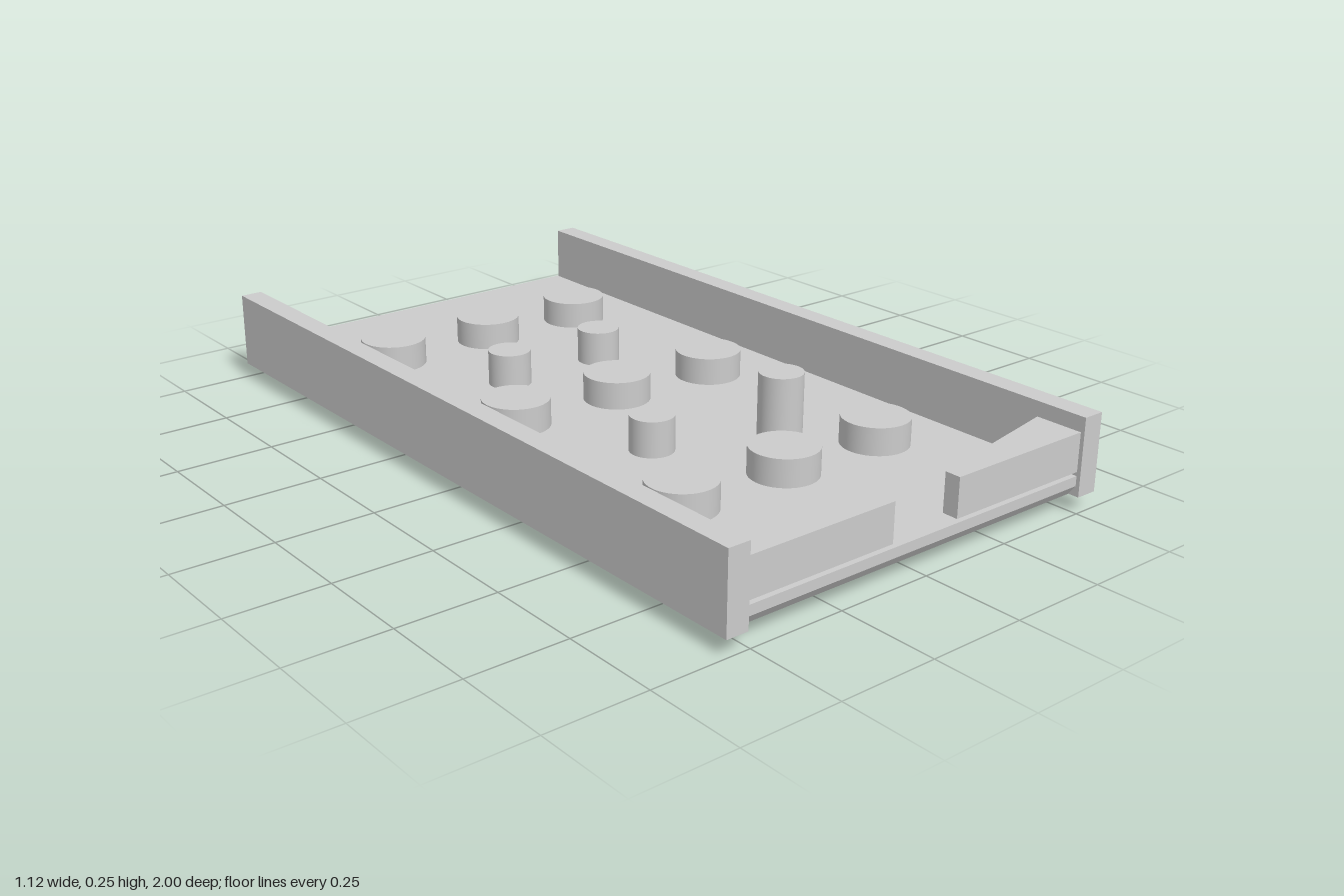
import * as THREE from 'three';

export function createModel() {
  const model = new THREE.Group();
  const grey = new THREE.MeshStandardMaterial({ color: 0xcccccc });
  const flat = new THREE.MeshStandardMaterial({ color: 0xcccccc, flatShading: true });

  function add(name, geometry, material, x = 0, y = 0, z = 0) {
    const mesh = new THREE.Mesh(geometry, material);
    mesh.name = name;
    mesh.position.set(x, y, z);
    model.add(mesh);
    return mesh;
  }

  // Base board: a thin slab whose lower edge is chamfered
  const board = new THREE.BoxGeometry(1.12, 0.05, 1.99, 1, 2, 1);
  const p = board.attributes.position;
  for (let i = 0; i < p.count; i++) {
    if (p.getY(i) < -0.02) {
      p.setX(i, p.getX(i) - Math.sign(p.getX(i)) * 0.018);
      p.setZ(i, p.getZ(i) - Math.sign(p.getZ(i)) * 0.018);
    }
  }
  add('baseBoard', board, flat, 0, 0.065, -0.005);

  for (const side of [-1, 1]) {
    const label = side > 0 ? 'left' : 'right';

    // Side rail running the full length
    add(label + 'Rail', new THREE.BoxGeometry(0.057, 0.195, 1.995), flat,
      side * 0.532 - 0.002, 0.1375, 0.0025);

    // Tapered guide reaching in from the rail, slightly above the board
    const outline = new THREE.Shape([
      new THREE.Vector2(side * 0.51, -0.865),
      new THREE.Vector2(side * 0.098, -0.95),
      new THREE.Vector2(side * 0.098, -0.99),
      new THREE.Vector2(side * 0.51, -0.99),
    ]);
    const guide = new THREE.ExtrudeGeometry(outline, { depth: 0.097, bevelEnabled: false });
    guide.rotateX(-Math.PI / 2);
    add(label + 'Guide', guide, flat, 0, 0.1, 0);
  }

  // Round peg spanning two heights
  function peg(name, radius, bottom, top, x, z) {
    add(name, new THREE.CylinderGeometry(radius, radius, top - bottom, 48), grey,
      x, (bottom + top) / 2, z);
  }

  // Wide bumpers: three rows of three, passing through the board
  const rows = [[-0.63, -0.63, -0.63], [-0.06, -0.05, -0.04], [0.565, 0.565, 0.565]];
  const columns = [-0.31, -0.007, 0.288];
  rows.forEach((row) => row.forEach((z, i) => peg('widePeg', 0.085, 0, 0.16, columns[i], z)));

  // Narrow pegs between the rows
  for (const [x, z] of [[-0.155, -0.31], [0.133, -0.31], [-0.153, 0.27]]) {
    peg('narrowPeg', 0.055, 0.02, 0.18, x, z);
  }

  // Single tall peg standing on the board
  peg('tallPeg', 0.055, 0.07, 0.255, 0.139, 0.395);

  return model;
}
